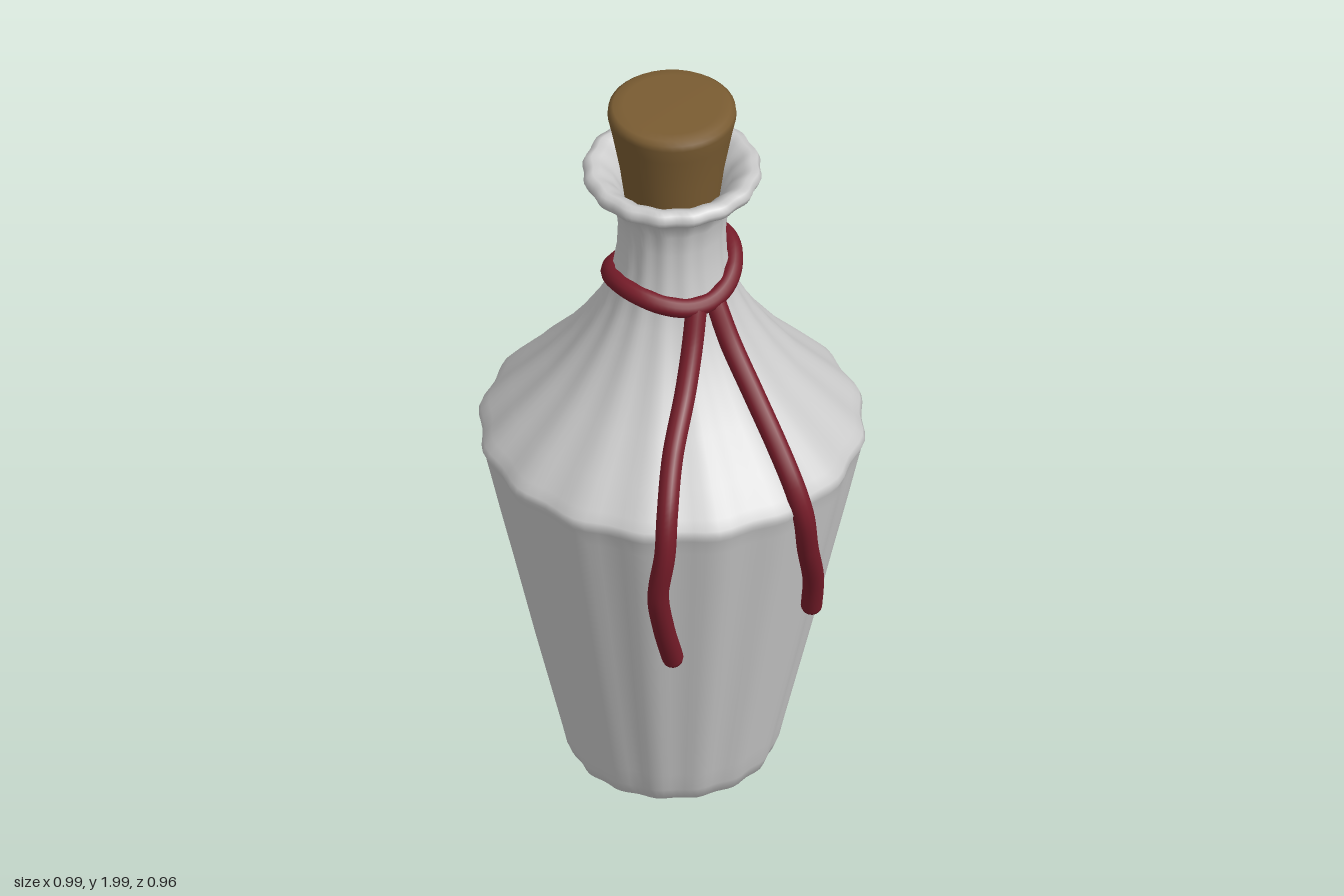
import * as THREE from 'three';
import { mergeVertices } from 'three/addons/utils/BufferGeometryUtils.js';

const FLUTES = 16;
const STEPS = 6; // segments per flute
const v2 = ([r, y]) => new THREE.Vector2(r, y);

function material(color) {
  return new THREE.MeshStandardMaterial({ color });
}

// Rebuild smooth normals without a seam
function smooth(geometry) {
  geometry.deleteAttribute('uv');
  geometry.deleteAttribute('normal');
  const merged = mergeVertices(geometry, 1e-5);
  merged.computeVertexNormals();
  return merged;
}

// Lathe whose ridges stand out at every flute, with nearly flat panels between
function flutedLathe(profile) {
  const geometry = new THREE.LatheGeometry(profile.map(v2), FLUTES * STEPS);
  const p = geometry.attributes.position;
  const sector = (Math.PI * 2) / FLUTES;
  for (let i = 0; i < p.count; i++) {
    const x = p.getX(i), z = p.getZ(i);
    const a = Math.atan2(z, x);
    const off = a - Math.round(a / sector) * sector; // angle from nearest ridge
    const k = 1 - 0.014 * (1 - Math.cos(off * FLUTES));
    p.setX(i, x * k);
    p.setZ(i, z * k);
  }
  return smooth(geometry);
}

// Round cord along a curve, with ball ends when open
function cord(name, points, radius, mat, closed = false) {
  const group = new THREE.Group();
  group.name = name;
  const pts = points.map((q) => new THREE.Vector3(...q));
  const curve = new THREE.CatmullRomCurve3(pts, closed);
  group.add(new THREE.Mesh(new THREE.TubeGeometry(curve, 64, radius, 12, closed), mat));
  if (!closed) {
    for (const end of [pts[0], pts[pts.length - 1]]) {
      const ball = new THREE.Mesh(new THREE.SphereGeometry(radius, 12, 8), mat);
      ball.position.copy(end);
      group.add(ball);
    }
  }
  group.children.forEach((m) => { m.name = name; });
  return group;
}

export function createModel() {
  const model = new THREE.Group();
  model.name = 'corkedBottle';
  const glass = material(0xcccccc);
  const corkMat = material(0x7a5c32);
  const cordMat = material(0x761c29);
  const cx = -0.017; // bottle axis, offset by the hanging cord

  // Bottle: base, tapered body, shoulder, neck, flared lip and inner throat
  const bottle = new THREE.Mesh(flutedLathe([
    [0, 0.012], [0.18, 0.012], [0.225, 0.02], [0.252, 0.04], [0.266, 0.075], [0.278, 0.13],
    [0.345, 0.42], [0.4, 0.67], [0.436, 0.83], [0.462, 0.95], [0.472, 0.995], [0.48, 1.012],
    [0.474, 1.028], [0.455, 1.05], [0.4, 1.11], [0.315, 1.2], [0.25, 1.285], [0.205, 1.355],
    [0.172, 1.42], [0.15, 1.48], [0.137, 1.56], [0.134, 1.63], [0.14, 1.69], [0.158, 1.735],
    [0.19, 1.765], [0.216, 1.78], [0.223, 1.797], [0.216, 1.814], [0.2, 1.819], [0.18, 1.812],
    [0.15, 1.785], [0.125, 1.74], [0.115, 1.68], [0.112, 1.55], [0, 1.54],
  ]), glass);
  bottle.name = 'bottle';
  bottle.position.x = cx;
  model.add(bottle);

  // Tapered cork with a softened top edge
  const cork = new THREE.Mesh(smooth(new THREE.LatheGeometry([
    [0, 1.66], [0.105, 1.66], [0.112, 1.68], [0.13, 1.82], [0.15, 1.93], [0.159, 1.972],
    [0.157, 1.988], [0.146, 1.997], [0.12, 2], [0, 2],
  ].map(v2), 40)), corkMat);
  cork.name = 'cork';
  cork.position.x = cx;
  model.add(cork);

  // Loop around the neck: high at front and back, low at the sides
  const loop = [];
  for (let i = 0; i < 16; i++) {
    const a = (i / 16) * Math.PI * 2;
    const c = Math.cos(a), s = Math.sin(a);
    const y = 1.47 + 0.012 * c + 0.055 * s * s - 0.018 * s;
    loop.push([cx + c * 0.152, y, s * 0.15]);
  }
  model.add(cord('neckCord', loop, 0.025, cordMat, true));

  // Two loose ends falling over the shoulder
  model.add(cord('frontCordEnd', [
    [0.13, 1.475, 0.035], [0.16, 1.39, 0.07], [0.205, 1.3, 0.125], [0.28, 1.19, 0.22],
    [0.345, 1.08, 0.285], [0.365, 0.98, 0.307], [0.348, 0.85, 0.315], [0.325, 0.72, 0.282],
    [0.3, 0.59, 0.235],
  ], 0.027, cordMat));
  model.add(cord('backCordEnd', [
    [0.13, 1.475, -0.02], [0.19, 1.38, -0.024], [0.28, 1.275, -0.028], [0.375, 1.17, -0.03],
    [0.44, 1.08, -0.034], [0.463, 1.0, -0.045], [0.447, 0.88, -0.07], [0.41, 0.74, -0.115],
    [0.38, 0.635, -0.132],
  ], 0.027, cordMat));

  return model;
}
